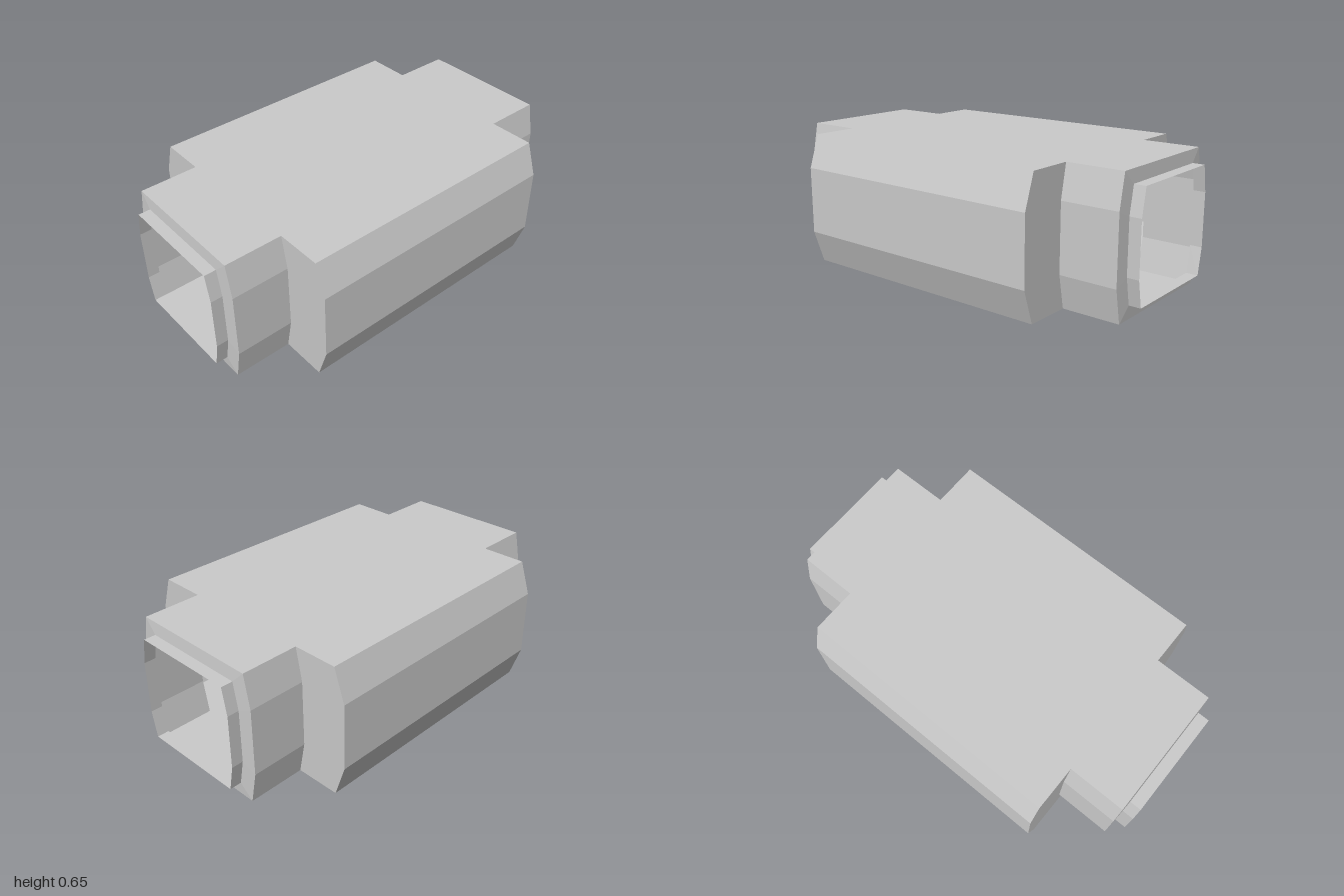
import * as THREE from 'three';

const material = new THREE.MeshStandardMaterial({
  color: 0xcccccc, flatShading: true, side: THREE.DoubleSide,
});

// Eight-sided section: flat top and bottom, side walls with sloping edges.
function section(flat, wide, y0, y1, y2, y3, zc = 0) {
  return [[flat, y0], [wide, y1], [wide, y2], [flat, y3],
    [-flat, y3], [-wide, y2], [-wide, y1], [-flat, y0]].map(([z, y]) => [z + zc, y]);
}

// Thin skin between two sections, xa being the one further to -x.
function skin(name, a, xa, b, xb) {
  const pos = [];
  const n = a.length;
  for (let i = 0; i < n; i++) {
    const j = (i + 1) % n;
    const [a0, a1] = [a[i], a[j]].map(([z, y]) => [xa, y, z]);
    const [b0, b1] = [b[i], b[j]].map(([z, y]) => [xb, y, z]);
    pos.push(...a0, ...b0, ...b1, ...a0, ...b1, ...a1);
  }
  const geometry = new THREE.BufferGeometry();
  geometry.setAttribute('position', new THREE.Float32BufferAttribute(pos, 3));
  geometry.computeVertexNormals();
  const mesh = new THREE.Mesh(geometry, material);
  mesh.name = name;
  return mesh;
}

export function createModel() {
  const group = new THREE.Group();
  group.name = 'corridorModule';

  const body = section(0.548, 0.602, 0, 0.162, 0.488, 0.648);
  const neck = section(0.325, 0.357, 0, 0.162, 0.488, 0.648, -0.002);
  const collar = section(0.261, 0.286, 0.066, 0.195, 0.455, 0.585, -0.002);

  // Open hull running the length of the middle
  group.add(skin('hull', body, -0.658, body, 0.658));

  // Stepped open ends, from the hull outward
  const steps = [
    ['Shoulder', body, 0.658, neck, 0.658],
    ['Neck', neck, 0.658, neck, 0.938],
    ['EndFace', neck, 0.938, collar, 0.943],
    ['Collar', collar, 0.943, collar, 1],
  ];
  for (const [name, inner, xi, outer, xo] of steps) {
    group.add(skin('left' + name, inner, xi, outer, xo));
    group.add(skin('right' + name, outer, -xo, inner, -xi));
  }
  return group;
}
